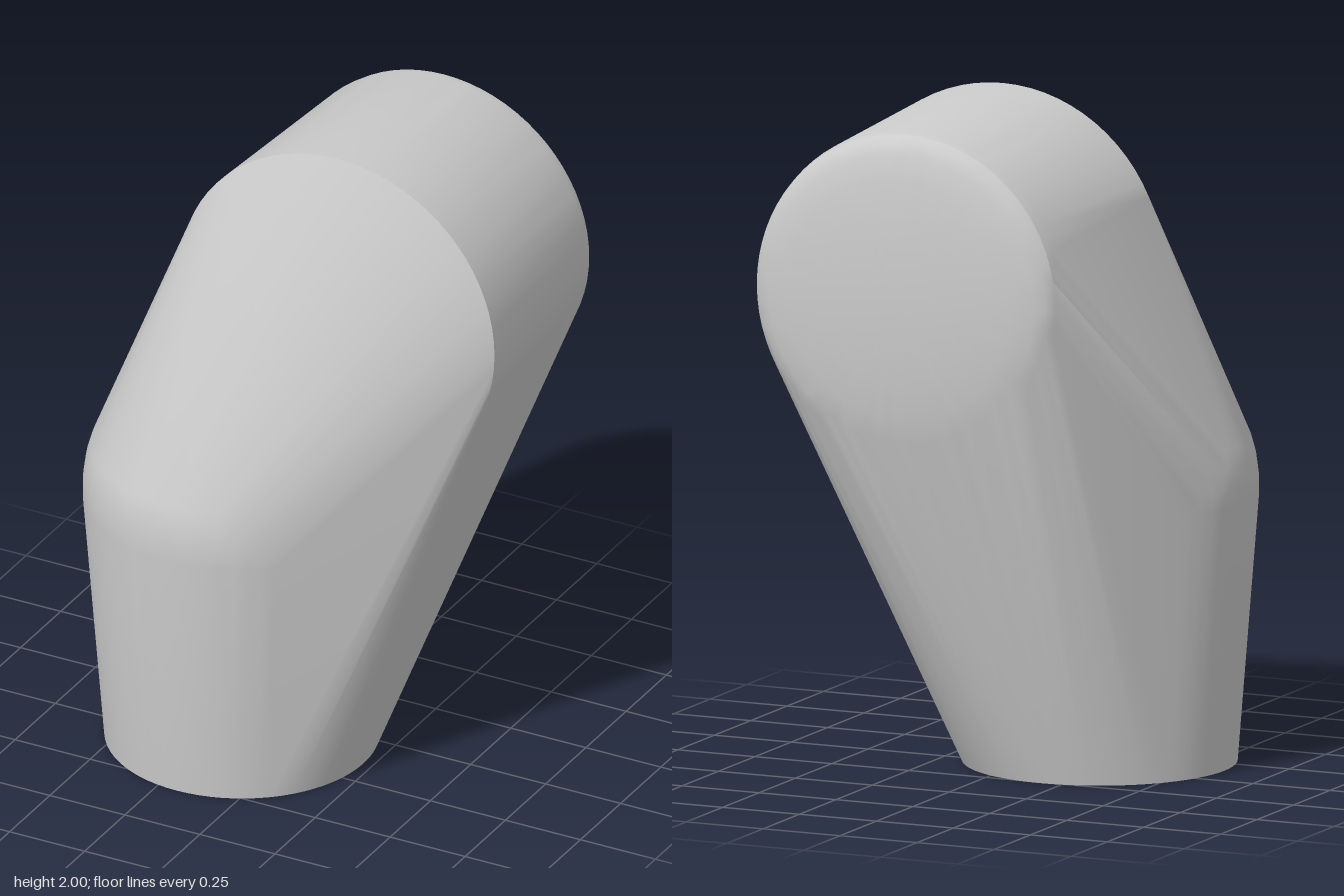
import * as THREE from 'three';
import { ConvexGeometry } from 'three/addons/geometries/ConvexGeometry.js';
import { toCreasedNormals } from 'three/addons/utils/BufferGeometryUtils.js';

const SEGMENTS = 72;

// Points of a stack of rings; each profile entry is [radius, distance along the axis]
function rings(profile, place) {
  const points = [];
  for (const [r, d] of profile) {
    for (let i = 0; i < SEGMENTS; i++) {
      const a = (i / SEGMENTS) * Math.PI * 2;
      points.push(place(r * Math.cos(a), r * Math.sin(a), d));
    }
  }
  return points;
}

export function createModel() {
  const group = new THREE.Group();
  group.name = 'elbowHull';

  // Upright, slightly flared lower stub with a rounded shoulder
  const stub = rings(
    [[0.405, 0], [0.468, 0.8], [0.467, 0.86], [0.459, 0.92], [0.445, 0.97], [0.42, 1.015]],
    (u, v, d) => new THREE.Vector3(-0.185 + u, d, 0.143 + v)
  );

  // Horizontal upper barrel: sharp front rim, gentle taper, domed back cap
  const barrel = rings(
    [[0.525, 0.133], [0.492, -0.5], [0.485, -0.53], [0.465, -0.552], [0.43, -0.568],
      [0.36, -0.582], [0.26, -0.594], [0.14, -0.602], [0.04, -0.605]],
    (u, v, d) => new THREE.Vector3(0.126 + u, 1.475 + v, d)
  );

  // Taut skin wrapped around both pieces
  const skin = toCreasedNormals(new ConvexGeometry([...stub, ...barrel]), 0.5);
  const body = new THREE.Mesh(skin, new THREE.MeshStandardMaterial({ color: 0xcccccc }));
  body.name = 'body';
  group.add(body);
  return group;
}
